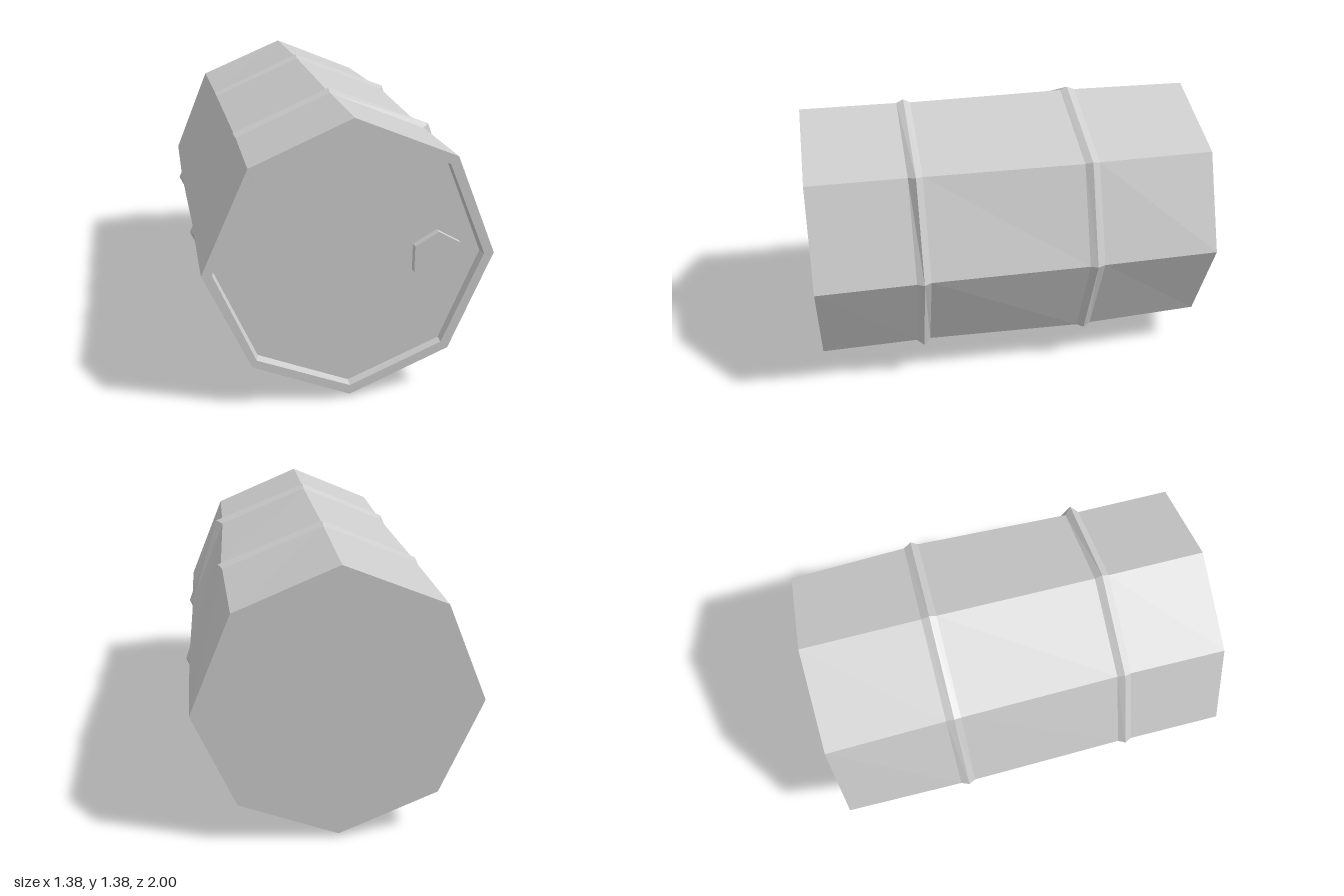
import * as THREE from 'three';

const CY = 0.69; // height of the barrel axis
const SIDES = 8;
const material = () => new THREE.MeshStandardMaterial({ color: 0xcccccc, flatShading: true });

// Octagonal ring with a corner at the top; right / left set the x of the diagonal corners
function ring([z, r, right = r * Math.SQRT1_2, left = r * Math.SQRT1_2]) {
  return Array.from({ length: SIDES }, (_, j) => {
    const a = (j / SIDES) * Math.PI * 2;
    let x = Math.cos(a) * r;
    if (j % 2) x = x > 0 ? right : -left;
    return [x, CY + Math.sin(a) * r, z];
  });
}

// Joins rings listed from back to front into flat-shaded quads
function loft(rows) {
  const rings = rows.map(ring);
  const pos = [];
  for (let i = 0; i < rings.length - 1; i++) {
    for (let j = 0; j < SIDES; j++) {
      const k = (j + 1) % SIDES;
      const a = rings[i][j], b = rings[i][k], c = rings[i + 1][k], d = rings[i + 1][j];
      if (rows[i][1] > 0) pos.push(...a, ...b, ...c);
      if (rows[i + 1][1] > 0) pos.push(...a, ...c, ...d);
    }
  }
  const g = new THREE.BufferGeometry();
  g.setAttribute('position', new THREE.Float32BufferAttribute(pos, 3));
  g.computeVertexNormals();
  return g;
}

function addMesh(group, name, geometry) {
  const mesh = new THREE.Mesh(geometry, material());
  mesh.name = name;
  group.add(mesh);
  return mesh;
}

export function createModel() {
  const group = new THREE.Group();
  group.name = 'barrel';

  // Closed back, slightly uneven wall, two raised hoops and the front rim
  addMesh(group, 'barrelBody', loft([
    [-1, 0],
    [-1, 0.665, 0.47, 0.47],
    [-0.41, 0.672, 0.49, 0.46],
    [-0.37, 0.688, 0.51, 0.465],
    [-0.335, 0.672, 0.495, 0.46],
    [0.45, 0.663, 0.47, 0.45],
    [0.485, 0.682, 0.505, 0.46],
    [0.52, 0.665, 0.47, 0.45],
    [1, 0.667, 0.47, 0.455],
    [1, 0.62, 0.435, 0.435],
  ]));

  // Recessed lid with its short inner wall
  addMesh(group, 'lid', loft([
    [1, 0.62, 0.435, 0.435],
    [0.96, 0.613, 0.435, 0.425],
    [0.96, 0],
  ].reverse().map((row) => row).reverse()));

  // Six-sided bung on the lid
  const bung = new THREE.CylinderGeometry(0.125, 0.125, 0.045, 6);
  bung.rotateX(Math.PI / 2);
  addMesh(group, 'bung', bung).position.set(0.4, 0.685, 0.9725);

  return group;
}
